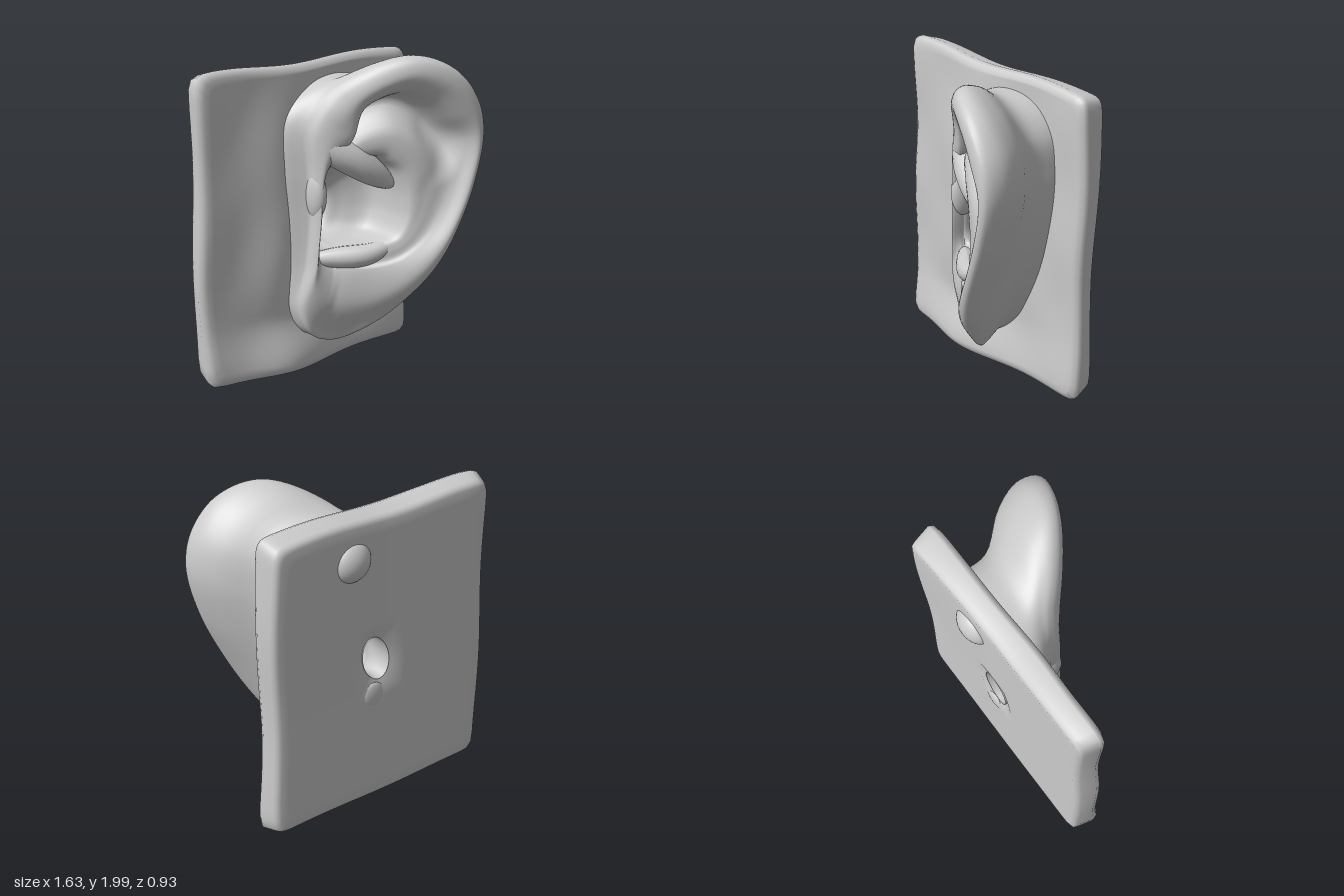
import * as THREE from 'three';

const V = (x, y, z = 0) => new THREE.Vector3(x, y, z);
const COLS = 192;
const HOLE = V(0.04, 1.0);
const { lerp, smoothstep } = THREE.MathUtils;

// Leaning, gently domed surface that the ear rim follows
function lean(x, y) {
  const rise = x > 0 ? x - 0.6 * x * x : 0.6 * x;
  return 0.05 + rise - 0.45 * Math.max(0, 0.9 - y) ** 2 * smoothstep(x, -0.3, 0.2);
}

// Front-view outlines, clockwise from the top, with matching stations
const outlines = {
  base: [0.25, 1.84, 0.42, 1.78, 0.53, 1.65, 0.56, 1.45, 0.55, 1.2, 0.49, 0.9, 0.38, 0.6, 0.25, 0.38,
    0.08, 0.24, -0.11, 0.25, -0.21, 0.42, -0.21, 0.72, -0.23, 1.02, -0.25, 1.3, -0.22, 1.62, 0.01, 1.81],
  outer: [0.35, 2.0, 0.6, 1.93, 0.77, 1.74, 0.815, 1.52, 0.75, 1.2, 0.61, 0.86, 0.46, 0.56, 0.28, 0.32,
    0.09, 0.18, -0.1, 0.25, -0.18, 0.42, -0.14, 0.72, -0.12, 1.02, -0.13, 1.3, -0.13, 1.58, 0.06, 1.85],
  inner: [0.33, 1.8, 0.48, 1.75, 0.6, 1.62, 0.69, 1.48, 0.64, 1.2, 0.5, 0.9, 0.34, 0.74, 0.22, 0.69,
    0.1, 0.68, 0, 0.69, -0.06, 0.74, -0.09, 0.82, -0.08, 1.0, -0.04, 1.3, 0.08, 1.5, 0.14, 1.7],
  bowl: [0.25, 1.4, 0.3, 1.36, 0.35, 1.3, 0.38, 1.2, 0.39, 1.1, 0.38, 0.98, 0.33, 0.87, 0.24, 0.83,
    0.12, 0.81, 0.02, 0.8, -0.05, 0.81, -0.075, 0.86, -0.07, 1.0, -0.03, 1.28, 0.05, 1.35, 0.15, 1.39],
};

function ring(list) {
  const pts = [];
  for (let i = 0; i < list.length; i += 2) pts.push(V(list[i], list[i + 1]));
  const curve = new THREE.CatmullRomCurve3(pts, true);
  return Array.from({ length: COLS }, (_, i) => curve.getPoint(i / COLS));
}

// Skin rows of points; columns[i][j] runs around and then across
function skin(columns) {
  const rows = columns[0].length, index = [];
  for (let i = 0; i < COLS; i++) {
    const n = (i + 1) % COLS;
    for (let j = 0; j < rows - 1; j++) {
      const a = i * rows + j, b = n * rows + j;
      index.push(a, b, b + 1, a, b + 1, a + 1);
    }
  }
  const geo = new THREE.BufferGeometry().setFromPoints(columns.flat());
  geo.setIndex(index);
  geo.computeVertexNormals();
  return geo;
}

const mix = (a, b, t, z) => V(lerp(a.x, b.x, t), lerp(a.y, b.y, t), z);

// Slanted oval hole
function holePoint(p) {
  const a = Math.atan2(p.y - HOLE.y, p.x - HOLE.x);
  return V(HOLE.x + 0.095 * Math.cos(a) + 0.025 * Math.sin(a), HOLE.y + 0.145 * Math.sin(a));
}

// Slightly uneven front and back faces of the slab, swollen by the ear and at the bottom
function frontZ(x, y) {
  const swell = 0.06 * Math.exp(-(((x + 0.25) / 0.22) ** 2) - ((y - 0.9) / 0.8) ** 2);
  const foot = (0.02 + 0.07 * Math.exp(-(((x + 0.2) / 0.4) ** 2))) * (1 - smoothstep(y, 0.05, 0.4));
  return -0.237 - 0.015 * Math.max(0, x) + swell + foot + 0.006 * Math.sin(9 * x + 2) * Math.sin(8 * y);
}
const backZ = (x, y) => -0.4 - 0.045 * Math.max(0, x) * smoothstep(y, 0.8, 1.9);

// Point on the wavy rounded rectangle in the direction of p
function slabEdge(p, inset) {
  const dx = p.x - HOLE.x, dy = p.y - HOLE.y;
  const ex = (dx < 0 ? 0.848 : 0.755) - inset, ey = (dy < 0 ? 0.985 : 0.945) - inset;
  const d = (Math.abs(dx / ex) ** 28 + Math.abs(dy / ey) ** 28) ** (-1 / 28);
  const x = HOLE.x + dx * d, y = HOLE.y + dy * d;
  return V(x + 0.01 * Math.sin(5 * y + 1), y + 0.012 * Math.sin(6 * x - 1) * (dy < 0 ? 0.4 : 1));
}

function taperedTube(points, radius) {
  const curve = new THREE.CatmullRomCurve3(points.map((p) => V(...p)));
  const seg = 32, sides = 16;
  const geo = new THREE.TubeGeometry(curve, seg, radius, sides);
  const pos = geo.attributes.position, v = V(0, 0);
  for (let k = 0; k < pos.count; k++) {
    const t = Math.floor(k / (sides + 1)) / seg;
    const c = curve.getPointAt(t);
    v.fromBufferAttribute(pos, k).sub(c).multiplyScalar(Math.sqrt(Math.sin(Math.PI * t) + 1e-5)).add(c);
    pos.setXYZ(k, v.x, v.y, v.z);
  }
  geo.computeVertexNormals();
  return geo;
}

export function createModel() {
  const group = new THREE.Group();
  const mat = new THREE.MeshStandardMaterial({ color: 0xcccccc, side: THREE.DoubleSide });
  const add = (name, geo) => {
    const mesh = new THREE.Mesh(geo, mat);
    mesh.name = name;
    group.add(mesh);
    return mesh;
  };
  const base = ring(outlines.base), outer = ring(outlines.outer);
  const inner = ring(outlines.inner), bowl = ring(outlines.bowl);

  // Ear shell: canal, bowl, inner hollow, rolled rim and back of the ear
  add('earShell', skin(base.map((b, i) => {
    const o = outer[i], n = inner[i], w = bowl[i], h = holePoint(w);
    const oz = lean(o.x, o.y) - 0.02 - 0.05 * smoothstep(o.y, 0.2, 0.6) - 0.12 * o.x * o.x;
    const bz = frontZ(b.x, b.y) - 0.015;
    const onLean = (p, drop) => V(p.x, p.y, lean(p.x, p.y) - drop);
    const hollow = mix(n, w, 0.22, 0);
    const neck = lerp(0.32, 0.05, smoothstep(b.x, -0.2, 0.1));
    const bowlZ = lean(w.x, w.y) - 0.12;
    const path = [
      V(h.x, h.y, -0.39), V(h.x, h.y, -0.27),
      mix(w, h, 0.65, -0.2), mix(w, h, 0.12, Math.min(-0.08, bowlZ - 0.04)),
      V(w.x, w.y, bowlZ),
      onLean(mix(n, w, 0.65, 0), 0.1),
      onLean(hollow, 0.09 + 0.14 * smoothstep(hollow.y, 1.2, 1.6)),
      onLean(n, 0.06), onLean(mix(o, n, 0.55, 0), 0), onLean(mix(o, n, 0.15, 0), 0.02),
      V(o.x, o.y, oz),
      mix(b, o, 0.75, lerp(bz, oz, 0.72)), mix(b, o, neck, lerp(bz, oz, 0.33)),
      b.clone().setZ(bz),
    ];
    return new THREE.CatmullRomCurve3(path).getPoints(65);
  })));

  // Slab with a hole through it; its back edge is narrower than its front
  add('backPlate', skin(base.map((b) => {
    const h = holePoint(b), start = mix(h, b, 0.88, 0);
    const rim = slabEdge(b, 0.04), edge = slabEdge(b, 0);
    const backEdge = slabEdge(b, 0.025), backRim = slabEdge(b, 0.06), col = [];
    for (let k = 0; k <= 14; k++) {
      const p = mix(start, rim, k / 14, 0);
      col.push(p.setZ(frontZ(p.x, p.y)));
    }
    const f = frontZ(rim.x, rim.y), r = backZ(rim.x, rim.y);
    col.push(mix(rim, edge, 0.75, f - 0.015), V(edge.x, edge.y, f - 0.045));
    col.push(V(backEdge.x, backEdge.y, r + 0.035), mix(backRim, backEdge, 0.75, r + 0.012));
    for (let k = 0; k <= 12; k++) {
      const p = mix(backRim, h, k / 12, 0);
      col.push(p.setZ(backZ(p.x, p.y) + (k === 12 ? 0.02 : 0)));
    }
    return col;
  })));

  // Ridges inside the ear
  add('rimRoot', taperedTube([[-0.08, 1.64, -0.14], [-0.01, 1.46, -0.06], [0.14, 1.35, 0.02],
    [0.38, 1.17, 0.1]], 0.1));
  add('lowerRidge', taperedTube([[-0.12, 0.75, -0.12], [0.02, 0.75, -0.03], [0.18, 0.765, 0.08],
    [0.36, 0.83, 0.16]], 0.07));

  // Rounded swellings beside the hole and on the back of the slab
  const swelling = (name, [x, y, z], [sx, sy, sz]) => {
    const mesh = add(name, new THREE.SphereGeometry(1, 32, 20));
    mesh.position.set(x, y, z);
    mesh.scale.set(sx, sy, sz);
  };
  swelling('canalFlap', [-0.085, 1.16, -0.09], [0.055, 0.16, 0.09]);
  swelling('backBump', [0.22, 1.68, -0.375], [0.13, 0.125, 0.09]);
  swelling('smallBackBump', [0.06, 0.76, -0.39], [0.08, 0.08, 0.02]);
  return group;
}
